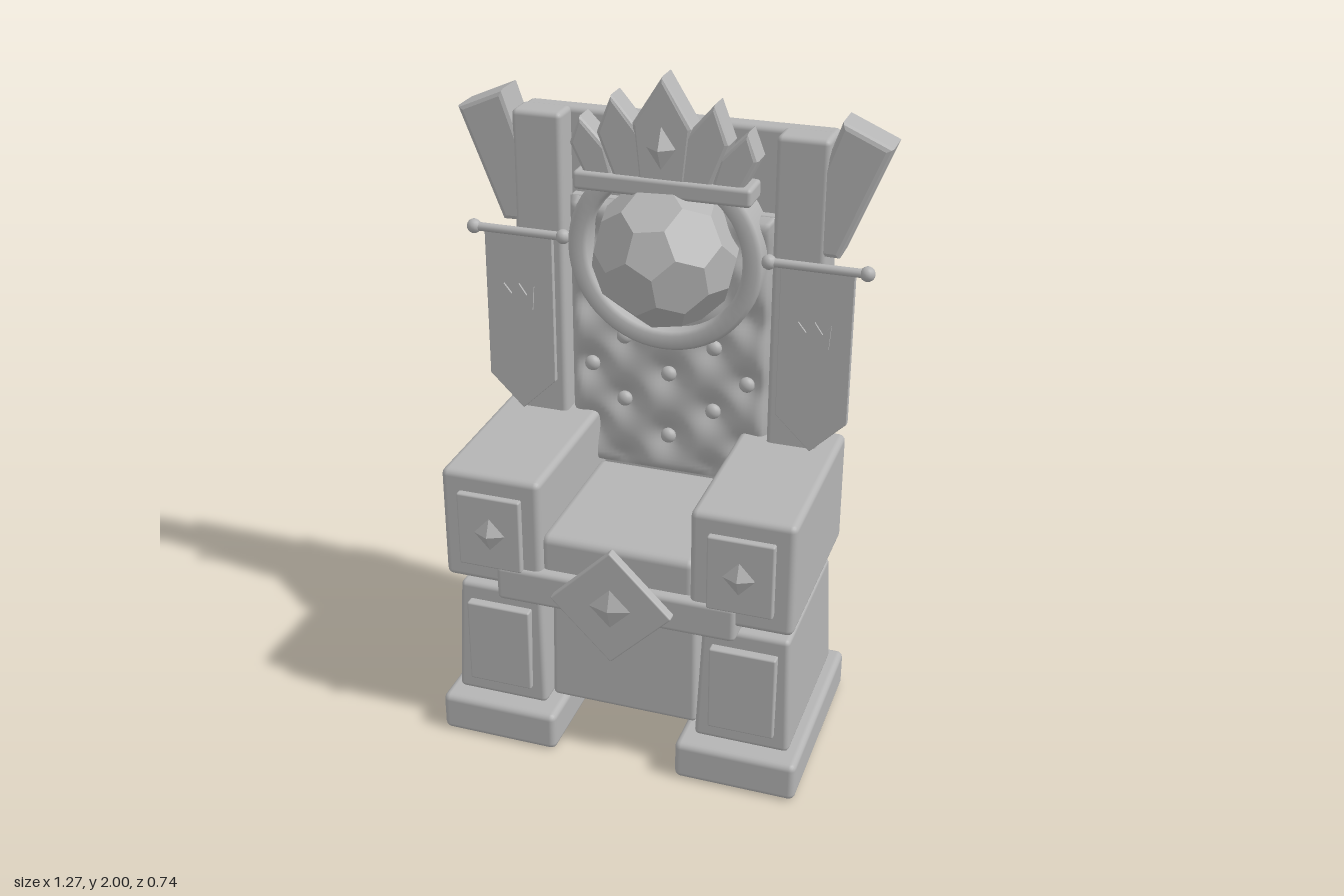
import * as THREE from 'three';
import { RoundedBoxGeometry } from 'three/addons/geometries/RoundedBoxGeometry.js';
import { ConvexGeometry } from 'three/addons/geometries/ConvexGeometry.js';

export function createModel() {
  const root = new THREE.Group();
  root.name = 'throne';
  const stone = new THREE.MeshStandardMaterial({ color: 0xb4b4b4 });
  stone.name = 'stone grey';

  function add(name, geo, x = 0, y = 0, z = 0) {
    const m = new THREE.Mesh(geo, stone);
    m.name = name;
    m.position.set(x, y, z);
    root.add(m);
    return m;
  }
  // Rounded block given by its limits on each axis
  function block(name, x0, x1, y0, y1, z0, z1, r = 0.016) {
    const w = x1 - x0, h = y1 - y0, d = z1 - z0;
    const geo = new RoundedBoxGeometry(w, h, d, 2, Math.min(r, w * 0.45, h * 0.45, d * 0.45));
    return add(name, geo, (x0 + x1) / 2, (y0 + y1) / 2, (z0 + z1) / 2);
  }
  // Same, mirrored for left and right
  function pair(name, s, x0, x1, ...rest) {
    return s > 0 ? block('left' + name, x0, x1, ...rest) : block('right' + name, -x1, -x0, ...rest);
  }
  // Narrow a block towards its top
  function taper(mesh, kx, kz) {
    const p = mesh.geometry.attributes.position;
    mesh.geometry.computeBoundingBox();
    const { min, max } = mesh.geometry.boundingBox;
    for (let i = 0; i < p.count; i++) {
      const t = (p.getY(i) - min.y) / (max.y - min.y);
      p.setX(i, p.getX(i) * (1 - t * (1 - kx)));
      p.setZ(i, p.getZ(i) * (1 - t * (1 - kz)));
    }
  }
  // Outline extruded between z0 and z1, bevelled inwards
  function slab(name, pts, z0, z1, bevel) {
    const shape = new THREE.Shape(pts.map(([x, y]) => new THREE.Vector2(x, y)));
    const geo = new THREE.ExtrudeGeometry(shape, {
      depth: z1 - z0 - 2 * bevel, bevelEnabled: bevel > 0, bevelSize: bevel,
      bevelThickness: bevel, bevelOffset: -bevel, bevelSegments: 2,
    });
    geo.translate(0, 0, z0 + bevel);
    return add(name, geo);
  }
  function gem(name, x, y, z, sx, sy, sz) {
    add(name, new THREE.OctahedronGeometry(1), x, y, z).scale.set(sx, sy, sz);
  }
  function diamond(name, y, r, z0, z1) {
    const a = r * Math.SQRT1_2;
    const m = block(name, -a, a, y - a, y + a, z0, z1, 0.005);
    m.rotation.z = Math.PI / 4;
  }

  // Base, seat and front medallion
  taper(block('basePanel', -0.23, 0.23, 0.14, 0.51, -0.23, 0.235), 0.98, 0.97);
  block('seatRail', -0.365, 0.365, 0.51, 0.625, -0.295, 0.318);
  block('seatCushion', -0.235, 0.235, 0.6, 0.735, -0.22, 0.288, 0.025);
  diamond('frontDiamond', 0.57, 0.185, 0.315, 0.347);
  gem('frontDiamondGem', 0, 0.57, 0.343, 0.075, 0.075, 0.026);

  // Backrest
  block('backSlab', -0.465, 0.465, 0.6, 1.85, -0.305, -0.24);
  block('backPanel', -0.33, 0.33, 0.73, 1.35, -0.313, -0.29, 0.005);
  diamond('backDiamond', 1.475, 0.375, -0.322, -0.29);

  for (const s of [1, -1]) {
    const side = s > 0 ? 'left' : 'right';
    // Feet, legs and armrests
    pair('Foot', s, 0.19, 0.56, 0, 0.125, -0.305, 0.328, 0.02);
    taper(pair('Leg', s, 0.235, 0.525, 0.13, 0.508, -0.255, 0.275), 0.9, 0.93);
    pair('LegPanel', s, 0.28, 0.48, 0.18, 0.455, 0.24, 0.287, 0.006);
    pair('Armrest', s, 0.225, 0.53, 0.558, 0.915, -0.288, 0.308, 0.02);
    pair('ArmPanel', s, 0.28, 0.475, 0.62, 0.855, 0.3, 0.328, 0.006);
    gem(side + 'ArmGem', s * 0.375, 0.735, 0.328, 0.048, 0.052, 0.024);

    // Pillar and flared horn
    pair('Pillar', s, 0.315, 0.467, 0.6, 1.855, -0.25, -0.153);
    slab(side + 'Horn', [[s * 0.637, 1.845], [s * 0.495, 1.907], [s * 0.36, 1.52], [s * 0.505, 1.515]],
      -0.278, -0.156, 0.015);

    // Banner on its rod
    const rod = new THREE.CylinderGeometry(0.013, 0.013, 0.28, 12).rotateZ(Math.PI / 2);
    add(side + 'BannerRod', rod, s * 0.45, 1.492, -0.14);
    for (const x of [0.31, 0.592]) {
      add(side + 'RodKnob', new THREE.SphereGeometry(0.022, 12, 8), s * x, 1.492, -0.14);
    }
    slab(side + 'Banner', [[s * 0.345, 1.495], [s * 0.558, 1.495], [s * 0.558, 1.02], [s * 0.452, 0.915], [s * 0.345, 1.02]],
      -0.156, -0.136, 0.002);
    const crown = [[-0.043, 0], [-0.048, 0.075], [-0.024, 0.045], [0, 0.08], [0.024, 0.045], [0.048, 0.075], [0.043, 0]];
    slab(side + 'BannerCrown', crown.map(([x, y]) => [s * 0.452 + x, 1.25 + y]), -0.137, -0.129, 0);
  }

  // Tufted cushion: a grid pressed in around every button
  const buttons = [], dents = [];
  for (let row = -3; row <= 5; row++) {
    const y = 1.075 + row * 0.104;
    const xs = row % 2 ? [-0.14, 0.14] : [-0.243, 0, 0.243];
    for (const x of xs) {
      dents.push([x, y]);
      if (row <= 1 && row >= -1 || (row === -2 && x === 0)) buttons.push([x, y]);
    }
  }
  const tuft = new THREE.PlaneGeometry(0.62, 0.86, 48, 64).translate(0, 1.17, 0);
  const tp = tuft.attributes.position;
  for (let i = 0; i < tp.count; i++) {
    const x = tp.getX(i), y = tp.getY(i);
    let h = 1;
    for (const [bx, by] of dents) h -= Math.exp(-((x - bx) ** 2 + (y - by) ** 2) / 0.003);
    const edge = Math.min(1, (0.31 - Math.abs(x)) / 0.03, (y - 0.74) / 0.03, (1.6 - y) / 0.03);
    tp.setZ(i, -0.205 + 0.036 * Math.max(h, -0.2) * Math.sqrt(Math.max(edge, 0)));
  }
  tuft.computeVertexNormals();
  add('tuftedCushion', tuft);
  block('cushionBacking', -0.31, 0.31, 0.74, 1.6, -0.25, -0.213, 0.005);
  for (const [x, y] of buttons) {
    add('cushionButton', new THREE.SphereGeometry(0.024, 14, 10), x, y, -0.19).scale.z = 0.8;
  }

  // Ring around the faceted orb
  const profile = [[0.235, -0.24], [0.235, -0.135], [0.245, -0.122], [0.28, -0.122], [0.292, -0.135], [0.292, -0.24]];
  const ring = new THREE.LatheGeometry(profile.map(([r, z]) => new THREE.Vector2(r, -z)).reverse(), 56);
  ring.rotateX(-Math.PI / 2);
  const ringMesh = add('orbRing', ring, 0, 1.472, 0);
  ringMesh.material = stone;
  stone.side = THREE.DoubleSide;

  // Orb with pentagon and hexagon facets
  const f = (1 + Math.sqrt(5)) / 2, corners = [];
  for (const [a, b, c] of [[0, 1, 3 * f], [1, 2 + f, 2 * f], [f, 2, 2 * f + 1]]) {
    for (const i of a ? [1, -1] : [1]) for (const j of [1, -1]) for (const k of [1, -1]) {
      const v = [a * i, b * j, c * k];
      for (let n = 0; n < 3; n++) {
        corners.push(new THREE.Vector3(v[n], v[(n + 1) % 3], v[(n + 2) % 3]).setLength(0.217));
      }
    }
  }
  const orb = add('orb', new ConvexGeometry(corners), 0, 1.472, -0.158);
  orb.rotation.set(0.2, 0.15, 0.1);

  // Crown over the ring
  block('crownBand', -0.263, 0.263, 1.655, 1.71, -0.21, -0.1, 0.012);
  const leaves = [[0, 0, 0.088, 2.0], [0.085, 0.15, 0.07, 1.935], [0.185, 0.245, 0.055, 1.865]];
  for (const [base, tip, half, top] of leaves) {
    for (const s of base ? [1, -1] : [1]) {
      const h = top - 1.69, mid = base + (tip - base) * 0.6;
      const pts = [[base - half * 0.8, 1.69], [mid - half, 1.69 + h * 0.55], [tip, top],
        [mid + half, 1.69 + h * 0.55], [base + half * 0.8, 1.69]];
      slab('crownPoint', pts.map(([x, y]) => [s * x, y]), -0.203, -0.11 - base * 0.02, 0.012);
    }
  }
  gem('crownGem', 0, 1.8, -0.108, 0.043, 0.062, 0.032);

  return root;
}
